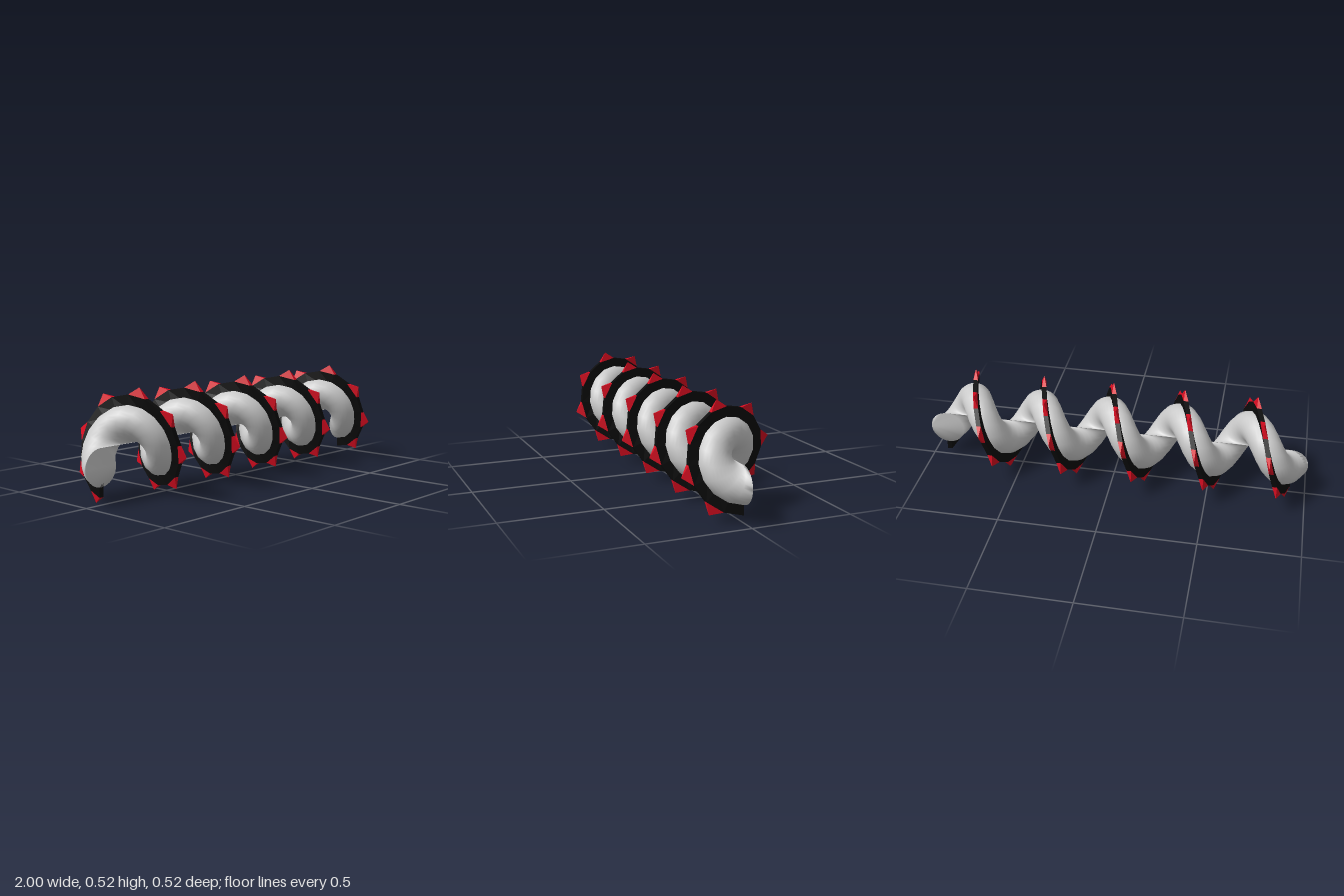
import * as THREE from 'three';

const TURNS = 5, STEPS = 16, PITCH = 0.364, AXIS_Y = 0.263, R = 0.09;
const TOTAL = TURNS * STEPS;

// Point on the helix: step number, offset along the axis, distance from the axis
function helixPoint(step, dx, radius) {
  const t = (step / STEPS) * Math.PI * 2;
  const x = (step / STEPS - TURNS / 2) * PITCH + dx;
  return [x, AXIS_Y - radius * Math.cos(t), -radius * Math.sin(t)];
}

function makeGeometry(positions, index) {
  const geometry = new THREE.BufferGeometry();
  geometry.setAttribute('position', new THREE.Float32BufferAttribute(positions, 3));
  geometry.setIndex(index);
  geometry.computeVertexNormals();
  return geometry;
}

// Screws a closed [dx, radius] profile along the axis and caps both ends
function screw(profile) {
  const n = profile.length, positions = [], index = [];
  for (let i = 0; i <= TOTAL; i++) {
    for (const [dx, r] of profile) positions.push(...helixPoint(i, dx, r));
  }
  for (let i = 0; i < TOTAL; i++) {
    for (let j = 0; j < n; j++) {
      const k = (j + 1) % n;
      const a = i * n + j, b = i * n + k, c = b + n, d = a + n;
      index.push(a, b, c, a, c, d);
    }
  }
  const end = TOTAL * n;
  for (let j = 1; j < n - 1; j++) {
    index.push(0, j + 1, j, end, end + j, end + j + 1);
  }
  return makeGeometry(positions, index);
}

export function createModel() {
  const group = new THREE.Group();
  const add = (name, geometry, color, flatShading) => {
    const material = new THREE.MeshStandardMaterial({ color, flatShading });
    const mesh = new THREE.Mesh(geometry, material);
    mesh.name = name;
    group.add(mesh);
  };

  // Round coil whose inner side touches the axis
  const circle = [];
  for (let j = 0; j < 32; j++) {
    const a = (j / 32) * Math.PI * 2;
    circle.push([R * Math.cos(a), R + R * Math.sin(a)]);
  }
  add('coil', screw(circle), 0xcccccc, false);

  // Thin dark fin along the outer ridge of the coil
  const half = 0.012, outer = 0.227;
  add('fin', screw([[-half, 0.16], [half, 0.16], [half, outer], [-half, outer]]), 0x0a0a0a, true);

  // Pointed teeth on every second facet of the fin
  const positions = [], index = [];
  for (let i = 0; i < TOTAL; i += 2) {
    const o = positions.length / 3;
    positions.push(
      ...helixPoint(i, -half, outer), ...helixPoint(i + 1, -half, outer),
      ...helixPoint(i + 1, half, outer), ...helixPoint(i, half, outer),
      ...helixPoint(i + 0.5, 0, 0.267)
    );
    for (let j = 0; j < 4; j++) index.push(o + j, o + (j + 1) % 4, o + 4);
  }
  add('teeth', makeGeometry(positions, index), 0xd80c20, true);

  return group;
}
